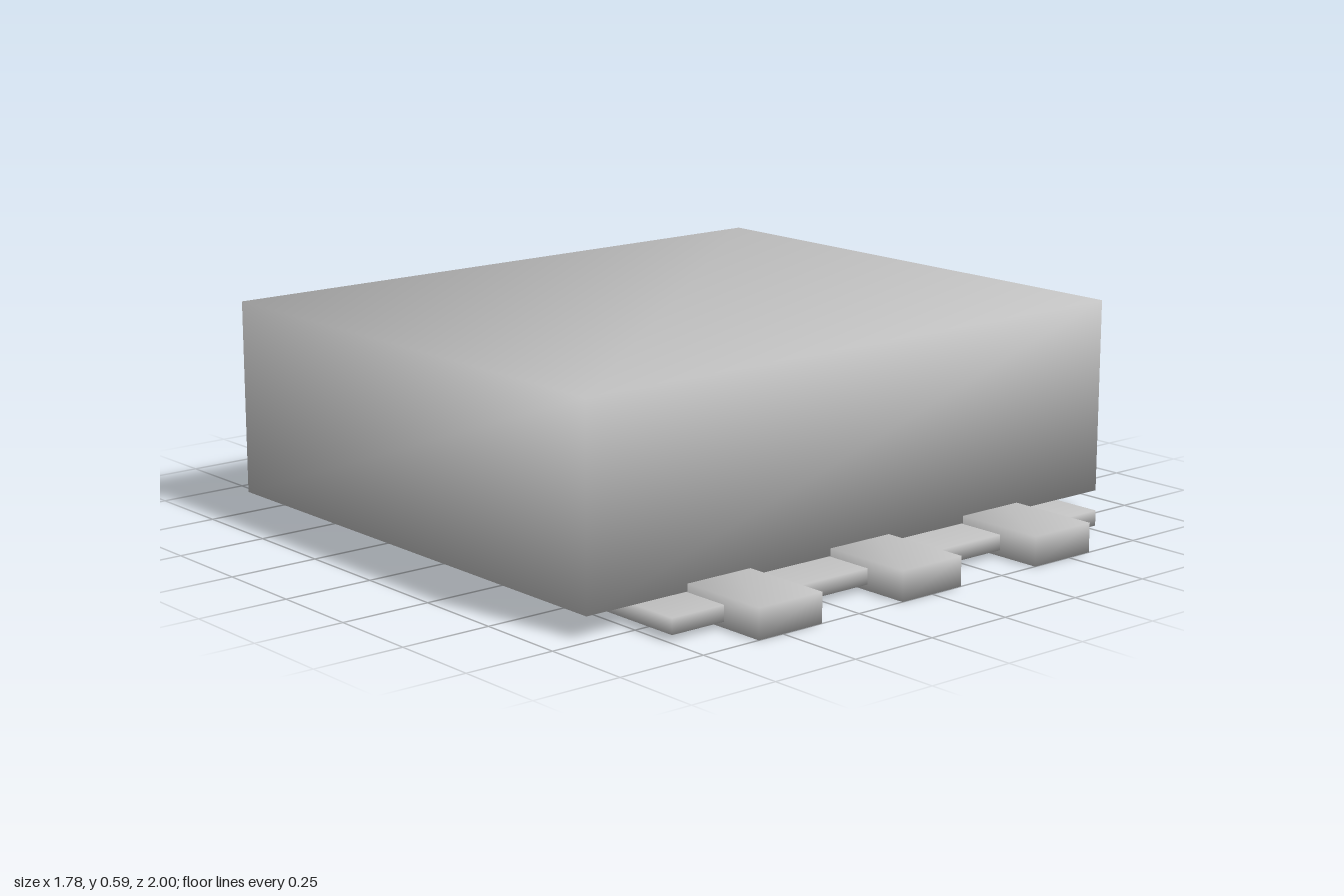
import * as THREE from 'three';
import { mergeVertices } from 'three/addons/utils/BufferGeometryUtils.js';

const grey = new THREE.MeshStandardMaterial({ color: 0xc0c0c0 });
grey.name = 'plain grey';

// Box between two corners, with its eight corners welded for smooth normals
function block(name, [x0, y0, z0], [x1, y1, z1]) {
  const box = new THREE.BoxGeometry(x1 - x0, y1 - y0, z1 - z0);
  box.deleteAttribute('normal');
  box.deleteAttribute('uv');
  const geometry = mergeVertices(box);
  geometry.computeVertexNormals();
  const mesh = new THREE.Mesh(geometry, grey);
  mesh.name = name;
  mesh.position.set((x0 + x1) / 2, (y0 + y1) / 2, (z0 + z1) / 2);
  return mesh;
}

export function createModel() {
  const group = new THREE.Group();
  group.name = 'chipPackage';

  // Main housing
  group.add(block('body', [-0.89, 0.06, -0.74], [0.89, 0.59, 0.74]));

  // Thin strip under the front edge
  group.add(block('frontPlate', [-0.74, 0.016, 0.58], [0.74, 0.058, 0.875]));

  // Three contact pins along the front and three along the back
  for (const x of [-0.475, 0, 0.475]) {
    group.add(block('frontPin', [x - 0.102, 0, 0.66], [x + 0.102, 0.08, 1]));
    group.add(block('backPin', [x - 0.102, 0, -1], [x + 0.102, 0.08, -0.66]));
  }
  return group;
}
